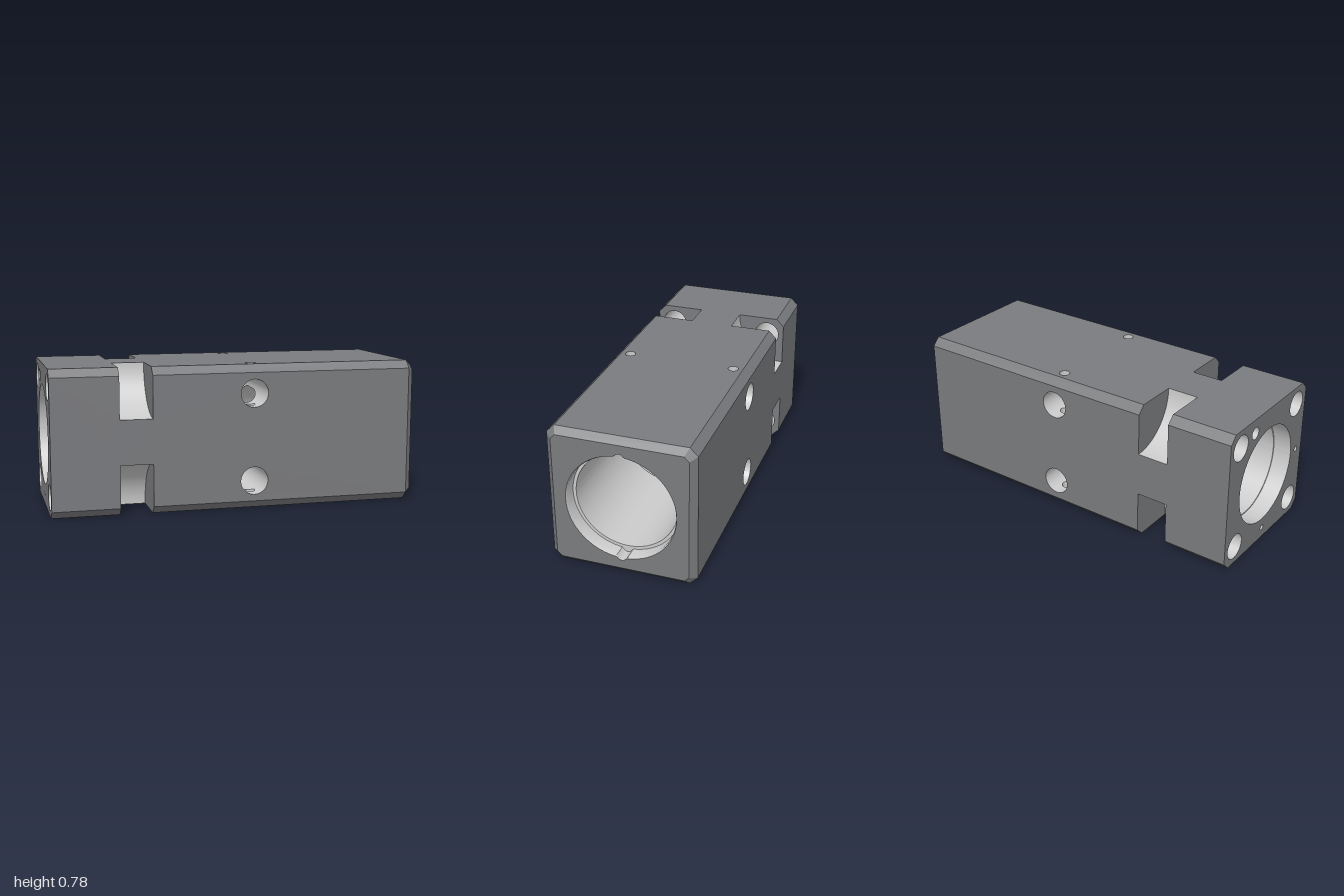
import * as THREE from 'three';
import { toCreasedNormals } from 'three/addons/utils/BufferGeometryUtils.js';

const H = 0.39, F = 0.348;               // half width, flat half width inside the chamfers
const X0 = -1, S0 = -0.64, S1 = -0.465, X1 = 0.965; // end, slot start, slot end, front chamfer
const SLOT = 0.27;                       // slot radius about each corner
const XC = 0.085;                        // x of the cross drilling
const PORT = { r: 0.075, off: 0.237 }, PIN = { r: 0.028, off: 0.295 };
const N = 180;

const skin = new THREE.MeshStandardMaterial({ color: 0x7a7b7e, side: THREE.DoubleSide });
const bare = new THREE.MeshStandardMaterial({ color: 0xcccccc, side: THREE.DoubleSide });

export function createModel() {
  const model = new THREE.Group();
  const body = new THREE.Group();
  body.name = 'block';
  body.position.y = H;
  model.add(body);

  const add = (name, geo, mat) => {
    const mesh = new THREE.Mesh(geo, mat);
    mesh.name = name;
    body.add(mesh);
    return mesh;
  };

  // Skin through loops of equal length
  const loft = (loops) => {
    const p = [];
    for (let j = 0; j + 1 < loops.length; j++) {
      for (let i = 0; i + 1 < loops[j].length; i++) {
        const a = loops[j][i], b = loops[j][i + 1], c = loops[j + 1][i + 1], d = loops[j + 1][i];
        p.push(...a, ...b, ...c, ...a, ...c, ...d);
      }
    }
    const g = new THREE.BufferGeometry();
    g.setAttribute('position', new THREE.Float32BufferAttribute(p, 3));
    return toCreasedNormals(g, 0.5);
  };
  const loop = (fn, n = N) => Array.from({ length: n + 1 }, (_, i) => fn((i / n) * Math.PI * 2));
  const root = (v) => Math.sqrt(Math.max(0, v));

  // Sections across the x axis use (a, y) with a = -z
  const ring = (x, r, a = 0, y = 0, n = N) => loop((t) => {
    const q = typeof r === 'function' ? r(t) : r;
    return [typeof x === 'function' ? x(t) : x, y + q * Math.sin(t), -(a + q * Math.cos(t))];
  }, n);
  const circle = (shape, x, y, r) => shape.holes.push(new THREE.Path().absarc(x, y, r, 0, Math.PI * 2, true));
  const across = (shape, x) => new THREE.ShapeGeometry(shape, 40).rotateY(Math.PI / 2).translate(x, 0, 0);

  // Four side panels, notched by the slots and drilled
  for (let k = 0; k < 4; k++) {
    const n = H - SLOT;
    const panel = new THREE.Shape([
      [X0, -F], [S0, -F], [S0, -n], [S1, -n], [S1, -F], [X1, -F],
      [X1, F], [S1, F], [S1, n], [S0, n], [S0, F], [X0, F],
    ].map(([x, y]) => new THREE.Vector2(x, y)));
    const hole = k % 2 ? PIN : PORT;
    for (const s of [-1, 1]) circle(panel, XC, s * hole.off, hole.r);
    add('sidePanel', new THREE.ShapeGeometry(panel, 40).translate(0, 0, H).rotateX(k * Math.PI / 2), skin);
  }

  // Long edge chamfers, slot walls and slot floors at each corner
  for (let k = 0; k < 4; k++) {
    const turn = k * Math.PI / 2;
    for (const [a, b] of [[X0, S0], [S1, X1]]) {
      add('edgeChamfer', new THREE.PlaneGeometry(b - a, (H - F) * Math.SQRT2)
        .translate((a + b) / 2, 0, (H + F) / Math.SQRT2).rotateX(Math.PI / 4 + turn), skin);
    }
    for (const x of [S0, S1]) {
      const wall = new THREE.Shape();
      wall.moveTo(H - SLOT, H);
      wall.lineTo(F, H);
      wall.lineTo(H, F);
      wall.lineTo(H, H - SLOT);
      wall.absarc(H, H, SLOT, -Math.PI / 2, -Math.PI, true);
      if (x === S0) circle(wall, 0.29, 0.29, 0.07);
      add('slotWall', across(wall, x).rotateX(turn), skin);
    }
    const arc = (x) => Array.from({ length: 33 }, (_, i) => {
      const t = Math.PI + (i / 32) * Math.PI / 2;
      return [x, H + SLOT * Math.sin(t), H + SLOT * Math.cos(t)];
    });
    add('slotFloor', loft([arc(S0), arc(S1)]).rotateX(turn), bare);
    add('boltHole', loft([ring(X0, 0.07, 0.29, 0.29, 48), ring(S0, 0.07, 0.29, 0.29, 48)]).rotateX(turn), bare);
  }

  // Octagonal outline with half width h and corner cut c
  const octagon = (h, c) => {
    const f = h - c;
    return [[h, -f], [h, f], [f, h], [-f, h], [-h, f], [-h, -f], [-f, -h], [f, -h]];
  };
  const octShape = (h, c) => new THREE.Shape(octagon(h, c).map(([a, y]) => new THREE.Vector2(a, y)));
  const octLoop = (x, h, c) => {
    const o = octagon(h, c);
    return [...o, o[0]].map(([a, y]) => [x, y, -a]);
  };

  // Rear end face with bore, bolt holes and blind holes
  const rear = octShape(H, H - F);
  circle(rear, 0, 0, 0.272);
  for (const a of [-0.29, 0.29]) for (const y of [-0.29, 0.29]) circle(rear, a, y, 0.07);
  for (const [a, y, r, depth] of [[0.15, 0.31, 0.033, 0.2], [-0.33, 0, 0.015, 0.1], [0, -0.33, 0.015, 0.1]]) {
    circle(rear, a, y, r);
    add('blindHole', loft([ring(X0, r, a, y, 32), ring(X0 + depth, r, a, y, 32),
      ring(X0 + depth, 0.0005, a, y, 32)]), bare);
  }
  add('rearFace', across(rear, X0), skin);

  // Radius of a circle of radius r centred at distance d in direction phi, seen from the axis
  const bulge = (t, phi, d, r) => {
    const q = r * r - (d * Math.sin(t - phi)) ** 2;
    return q > 0 && Math.cos(t - phi) > 0 ? d * Math.cos(t - phi) + Math.sqrt(q) : 0;
  };
  const nicked = (r) => (t) => Math.max(r, bulge(t, Math.PI / 2, 0.283, 0.025), bulge(t, Math.PI * 1.5, 0.283, 0.025));
  const lobed = (t) => Math.max(0.228, bulge(t, Math.PI * 0.75, 0.127, 0.135), bulge(t, Math.PI * 1.75, 0.127, 0.135));

  // Front end face and its chamfer band
  const front = octShape(0.356, 0.025);
  front.holes.push(new THREE.Path(ring(1, nicked(0.292)).slice(0, -1).map(([, y, z]) => new THREE.Vector2(-z, y)).reverse()));
  add('frontFace', across(front, 1), skin);
  add('frontChamfer', loft([octLoop(X1, H, H - F), octLoop(1, 0.356, 0.025)]), skin);

  // Stepped bore; the narrow middle opens where the cross ports break in
  const gap = (t) => root(PORT.r ** 2 - (Math.abs(lobed(t) * Math.sin(t)) - PORT.off) ** 2);
  add('rearBore', loft([ring(X0, 0.272), ring(-0.9, 0.272), ring(-0.9, 0.265), ring(-0.1, 0.265),
    ring(-0.1, lobed), ring((t) => XC - gap(t), lobed)]), bare);
  add('frontBore', loft([ring((t) => XC + gap(t), lobed), ring(0.27, lobed), ring(0.27, 0.27),
    ring(0.92, 0.27), ring(0.92, nicked(0.287)), ring(0.99, nicked(0.287)), ring(1, nicked(0.292))]), bare);

  // Cross ports along z, cut off at the bore and opened for the pin holes
  const boreZ = (y, s) => {
    const v = y * s;
    const lobe = Math.abs(v - 0.09) < 0.135 ? 0.09 + root(0.135 ** 2 - (v - 0.09) ** 2) : 0;
    return Math.max(root(0.228 ** 2 - y * y), lobe);
  };
  for (const side of [-1, 1]) {
    for (const level of [-1, 1]) {
      const port = (zAt) => loop((t) => {
        const dx = PORT.r * Math.cos(t), y = level * PORT.off + PORT.r * Math.sin(t);
        return [XC + dx, y, side * zAt(root(PIN.r ** 2 - dx * dx), y)];
      });
      add('crossPort', loft([port(() => H), port((w) => PIN.off + w)]), bare);
      add('crossPort', loft([port((w) => PIN.off - w), port((w, y) => boreZ(y, side))]), bare);
    }
    // Vertical pin hole in three lengths between the ports
    const pin = (yAt) => loop((t) => {
      const dx = PIN.r * Math.cos(t);
      return [XC + dx, yAt(root(PORT.r ** 2 - dx * dx)), side * PIN.off + PIN.r * Math.sin(t)];
    }, 48);
    add('pinHole', loft([pin(() => H), pin((h) => PORT.off + h)]), bare);
    add('pinHole', loft([pin((h) => PORT.off - h), pin((h) => h - PORT.off)]), bare);
    add('pinHole', loft([pin((h) => -PORT.off - h), pin(() => -H)]), bare);
  }
  return model;
}
